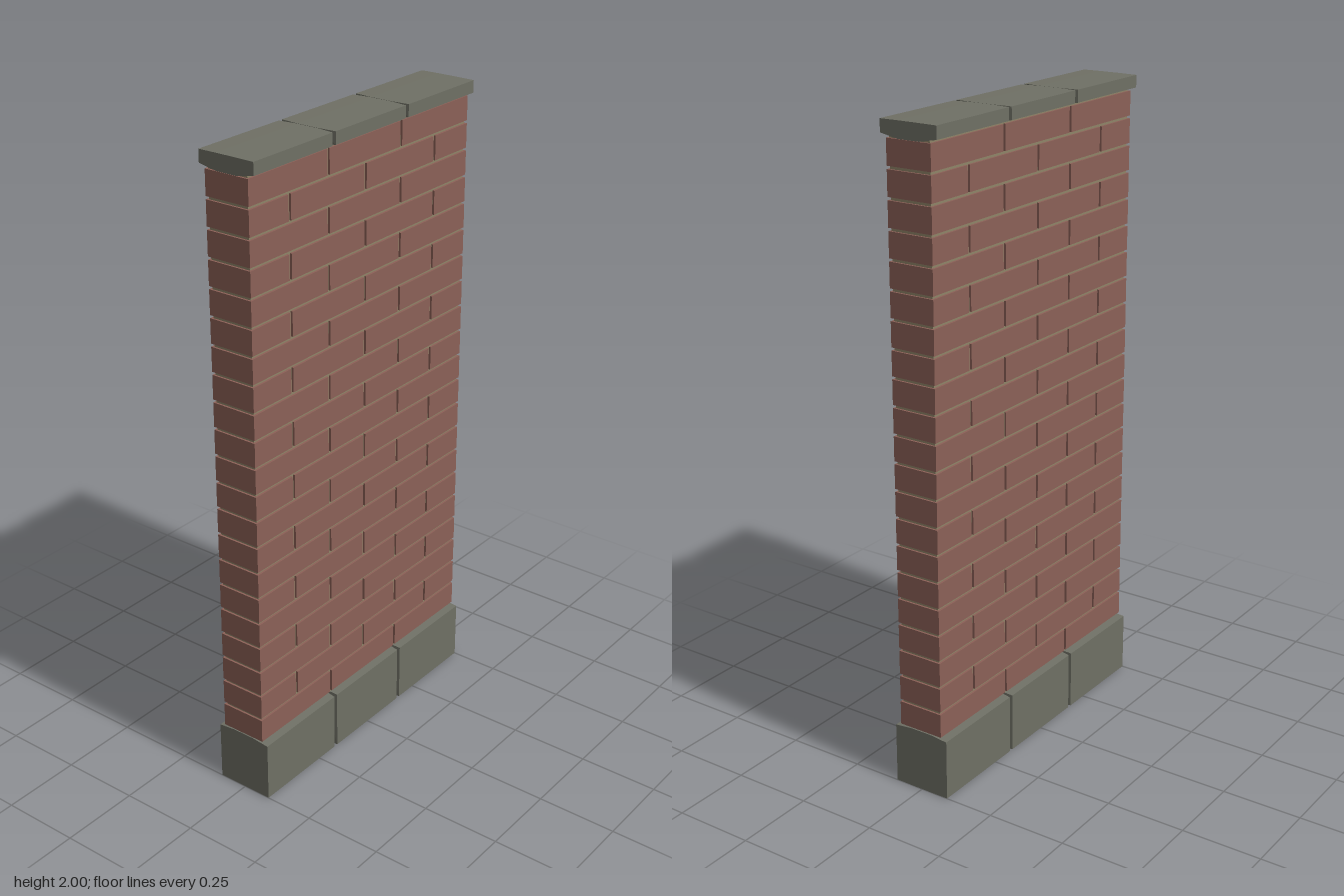
import * as THREE from 'three';

export function createModel() {
  const brickRed = new THREE.MeshStandardMaterial({ color: 0x8c6157 });
  const stoneGrey = new THREE.MeshStandardMaterial({ color: 0x6f7065 });
  const mortarTan = new THREE.MeshStandardMaterial({ color: 0x8f8468 });

  const wall = new THREE.Group();
  wall.name = 'brickWall';

  const add = (parent, name, geometry, material, x = 0, y = 0, z = 0) => {
    const mesh = new THREE.Mesh(geometry, material);
    mesh.name = name;
    mesh.position.set(x, y, z);
    parent.add(mesh);
  };

  const group = (name) => {
    const g = new THREE.Group();
    g.name = name;
    wall.add(g);
    return g;
  };

  const BOTTOM = 0.195, TOP = 1.955, COURSES = 21;
  const PITCH = (TOP - BOTTOM) / COURSES;
  const JOINT = 0.01;

  // Mortar core, slightly recessed behind the brick faces
  add(wall, 'mortar', new THREE.BoxGeometry(0.988, TOP - BOTTOM, 0.134), mortarTan, 0, (TOP + BOTTOM) / 2);

  // Brick courses in running bond
  const bricks = group('bricks');
  for (let i = 0; i < COURSES; i++) {
    const edges = i % 2 ? [-0.5, -1 / 3, 0, 1 / 3, 0.5] : [-0.5, -1 / 6, 1 / 6, 0.5];
    for (let k = 0; k < edges.length - 1; k++) {
      const x0 = edges[k] + (k ? JOINT / 2 : 0);
      const x1 = edges[k + 1] - (k < edges.length - 2 ? JOINT / 2 : 0);
      add(bricks, 'brick', new THREE.BoxGeometry(x1 - x0, PITCH - 0.009, 0.147), brickRed,
        (x0 + x1) / 2, BOTTOM + (i + 0.5) * PITCH);
    }
  }

  // Stone block: cross-section swept along x; joint ends taper away from the middle
  const D = 0.093, C = 0.035;
  const stone = (x0, x1, y0, y1, bulgeBottom, bulgeTop) => {
    const section = new THREE.Shape([
      [-D, y0 + bulgeBottom], [-C, y0], [C, y0], [D, y0 + bulgeBottom],
      [D, y1 - bulgeTop], [C, y1], [-C, y1], [-D, y1 - bulgeTop],
    ].map(([z, y]) => new THREE.Vector2(z, y)));
    const g = new THREE.ExtrudeGeometry(section, { depth: x1 - x0, bevelEnabled: false });
    g.rotateY(Math.PI / 2).translate(x0, 0, 0);
    const p = g.attributes.position;
    for (let i = 0; i < p.count; i++) {
      const x = p.getX(i);
      const inner = Math.abs(x) < 0.4;
      if (inner && Math.abs(p.getZ(i)) > 0.06) {
        p.setX(i, x + (x < (x0 + x1) / 2 ? 0.006 : -0.006));
      }
    }
    g.computeVertexNormals();
    return g;
  };

  // Three base blocks and three coping stones
  const base = group('baseBlocks');
  const coping = group('copingStones');
  for (let k = 0; k < 3; k++) {
    const x0 = -0.5 + k / 3 + (k > 0 ? 0.001 : 0);
    const x1 = -0.5 + (k + 1) / 3 - (k < 2 ? 0.001 : 0);
    add(base, 'baseBlock', stone(x0, x1, 0, 0.196, 0.0005, 0.006), stoneGrey);
    add(coping, 'copingStone', stone(x0, x1, 1.951, 2, 0.011, 0.0005), stoneGrey);
  }

  return wall;
}
